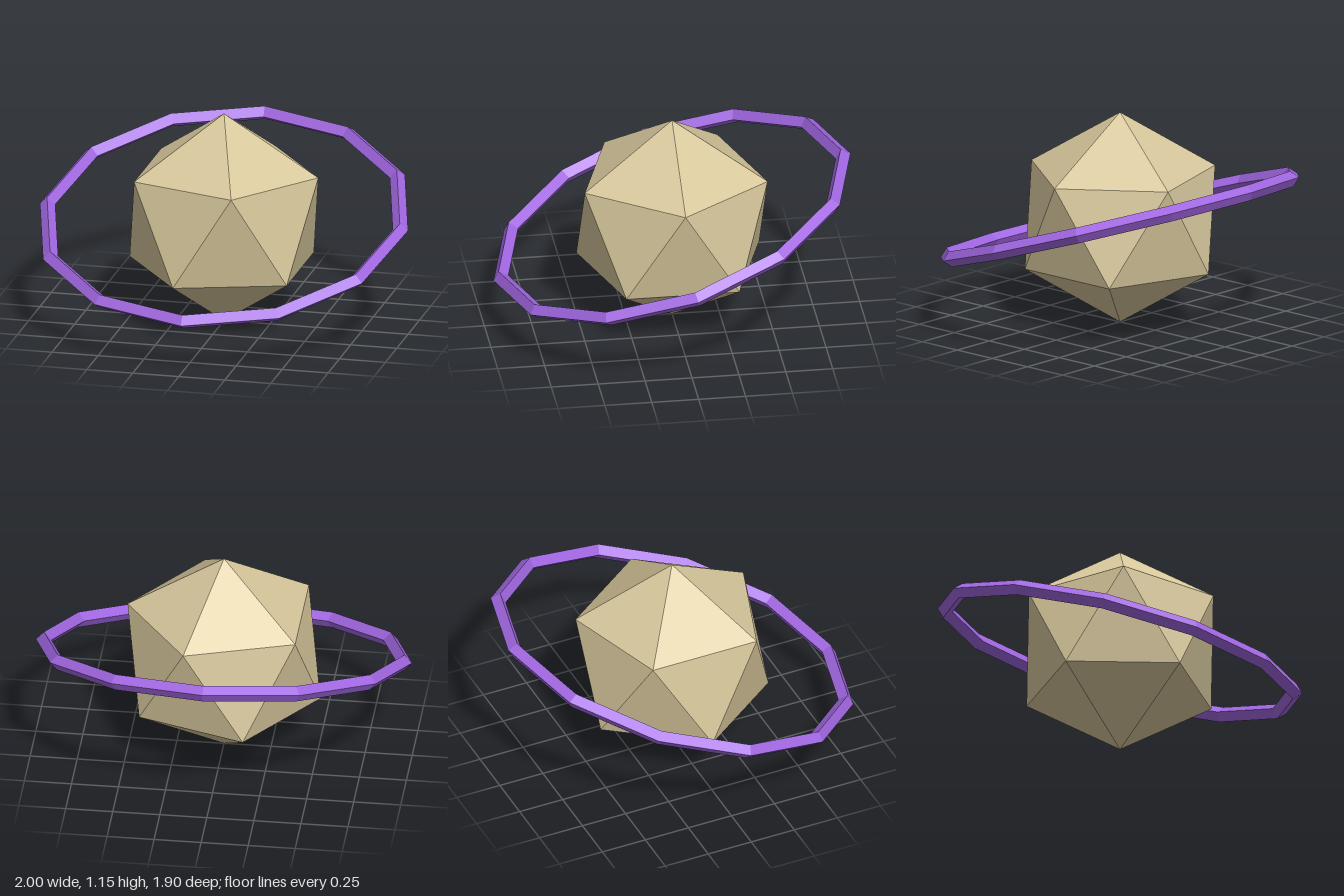
import * as THREE from 'three';

export function createModel() {
  const group = new THREE.Group();
  group.name = 'ringedPlanet';

  const sand = new THREE.MeshStandardMaterial({ color: 0xd6c69b, flatShading: true });
  sand.name = 'sand';
  const purple = new THREE.MeshStandardMaterial({ color: 0xa066e0, flatShading: true });
  purple.name = 'purple';

  const radius = 0.573;

  // Faceted planet, turned so that it stands on one corner
  const golden = (1 + Math.sqrt(5)) / 2;
  const planetGeometry = new THREE.IcosahedronGeometry(radius, 0);
  planetGeometry.rotateZ(-Math.atan(1 / golden));
  const planet = new THREE.Mesh(planetGeometry, sand);
  planet.name = 'planet';
  planet.position.y = radius;
  group.add(planet);

  // Twelve-sided ring with a diamond section, tilted down at the front
  const ringGeometry = new THREE.TorusGeometry(0.9583, 0.0417, 4, 12);
  ringGeometry.rotateX(Math.PI / 2 + THREE.MathUtils.degToRad(18));
  const ring = new THREE.Mesh(ringGeometry, purple);
  ring.name = 'ring';
  ring.position.y = radius;
  group.add(ring);

  return group;
}
